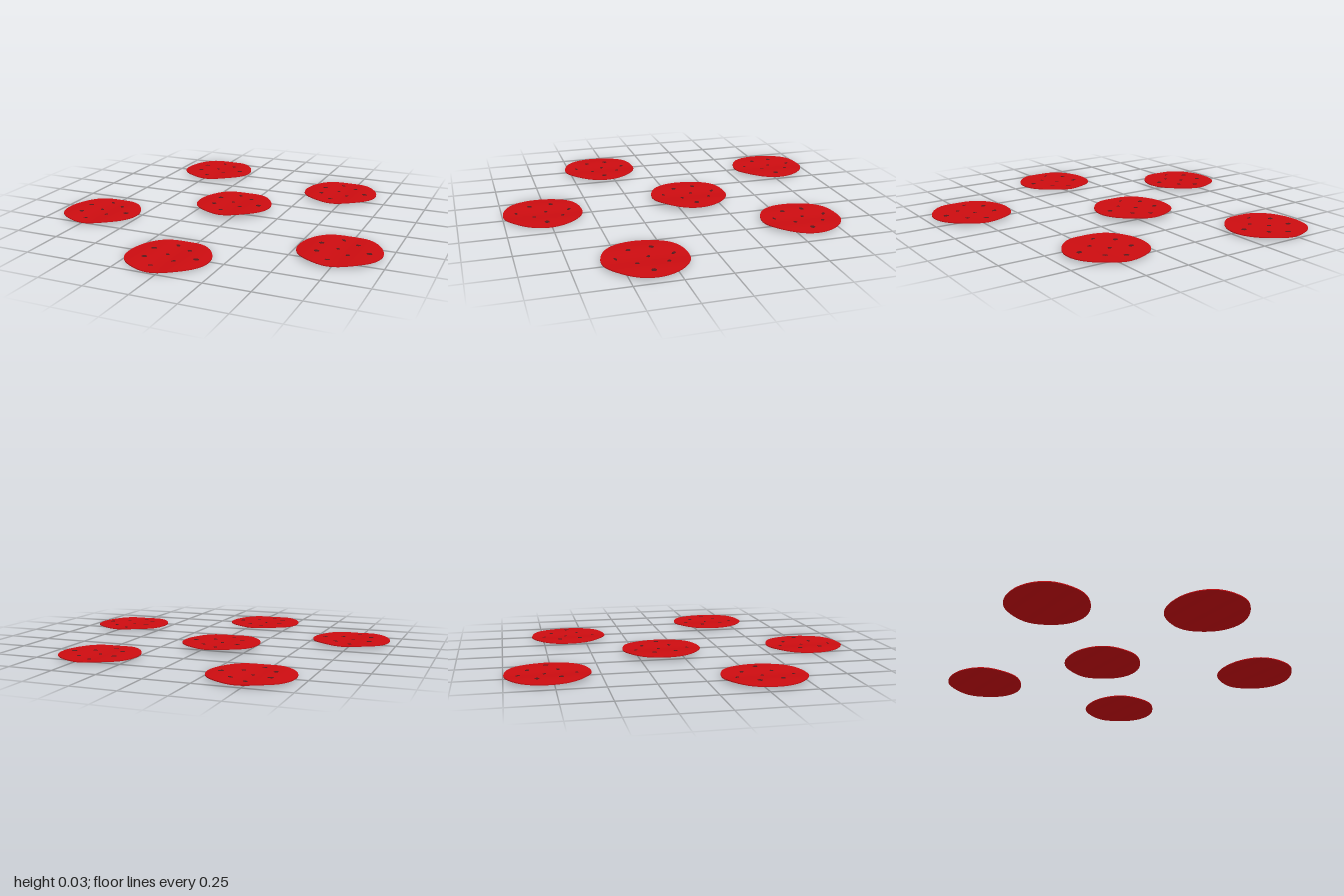
import * as THREE from 'three';
import { toCreasedNormals } from 'three/addons/utils/BufferGeometryUtils.js';

const RADIUS = 0.224, THICK = 0.005;

// gentle curl of a slice, always above zero
const wave = (x, z) => 0.004 + 0.0025 * Math.cos(25 * (x + 0.12)) + 0.0012 * Math.sin(9 * z);

// slightly uneven round outline
const outline = (a) => 1 + 0.008 * Math.cos(3 * a + 0.6) + 0.007 * Math.cos(5 * a - 0.8);

// moves every vertex of a geometry by a rule
function bend(geometry, rule) {
  const p = geometry.attributes.position;
  const v = new THREE.Vector3();
  for (let i = 0; i < p.count; i++) {
    rule(v.fromBufferAttribute(p, i));
    p.setXYZ(i, v.x, v.y, v.z);
  }
  return geometry;
}

// thin wavy disc: underside, rim and top in one lathe profile
function sliceGeometry() {
  const rings = 10, profile = [];
  for (let i = 0; i <= rings; i++) profile.push(new THREE.Vector2(RADIUS * i / rings, 0));
  for (let i = rings; i >= 0; i--) profile.push(new THREE.Vector2(RADIUS * i / rings, THICK));
  const g = bend(new THREE.LatheGeometry(profile, 48), (v) => {
    const k = outline(Math.atan2(v.z, v.x));
    v.x *= k;
    v.z *= k;
    v.y += wave(v.x, v.z);
  });
  return toCreasedNormals(g, Math.PI / 4);
}

// small dark fleck lying on the curled top
function spotGeometry([x, z, rx, rz, turn]) {
  const g = new THREE.CylinderGeometry(1, 1, 0.0016, 10);
  g.scale(rx, 1, rz).rotateY(turn).translate(x, THICK, z);
  bend(g, (v) => { v.y += wave(v.x, v.z); });
  return toCreasedNormals(g, Math.PI / 4);
}

export function createModel() {
  const model = new THREE.Group();
  model.name = 'slices';
  const meat = new THREE.MeshStandardMaterial({ color: 0xcc0c10 });
  const dark = new THREE.MeshStandardMaterial({ color: 0x571a1c });

  // x, z, half length, half width, turn
  const spots = [
    [-0.02, -0.15, 0.016, 0.009, -0.7], [0.072, -0.10, 0.014, 0.010, -0.4],
    [-0.115, -0.058, 0.016, 0.012, 0.3], [-0.012, -0.016, 0.012, 0.009, -0.5],
    [0.157, 0, 0.015, 0.014, 0], [-0.103, 0.065, 0.014, 0.013, 0],
    [0.06, 0.058, 0.012, 0.010, 0.4], [-0.02, 0.15, 0.014, 0.007, 0.3],
  ].map(spotGeometry);
  const disc = sliceGeometry();

  // x, height, z of each slice
  const places = [
    [-0.475, 0.008, -0.775], [0.45, 0.007, -0.595], [-0.066, 0.018, -0.103],
    [-0.733, 0.008, 0.305], [0.733, 0.007, 0.37], [-0.05, -0.0005, 0.77],
  ];
  places.forEach((place, i) => {
    const slice = new THREE.Group();
    slice.name = `slice${i + 1}`;
    slice.position.set(...place);
    const body = new THREE.Mesh(disc, meat);
    body.name = 'sliceBody';
    slice.add(body);
    spots.forEach((geometry, j) => {
      const spot = new THREE.Mesh(geometry, dark);
      spot.name = `spot${j + 1}`;
      slice.add(spot);
    });
    model.add(slice);
  });
  return model;
}
